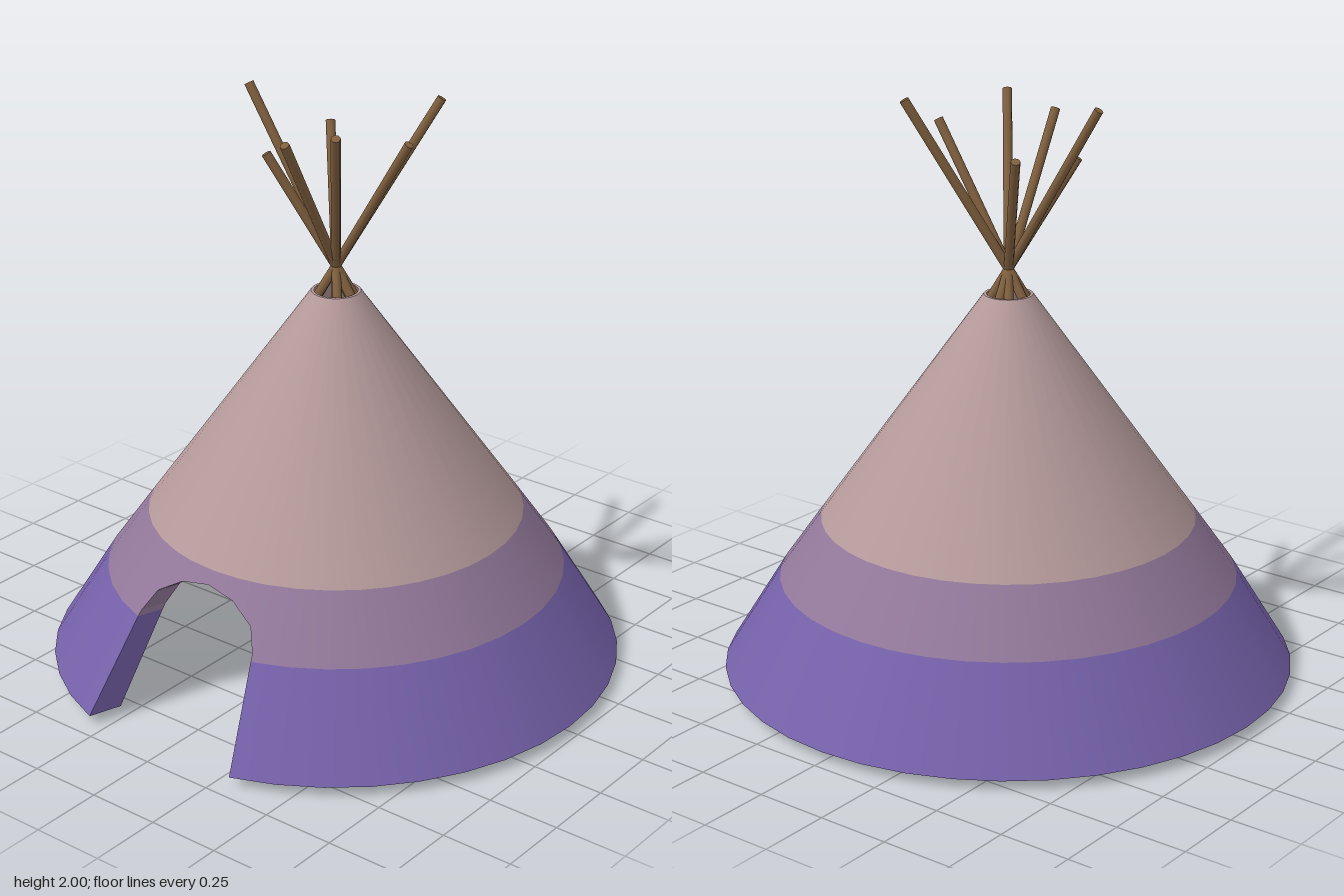
import * as THREE from 'three';

const mat = (name, color, side = THREE.FrontSide) => {
  const m = new THREE.MeshStandardMaterial({ color, side });
  m.name = name;
  return m;
};

const CZ = 0.016;          // axis of the tent in z
const INNER = 0.88;        // inner radius relative to outer
const PROFILE = [[0.98, 0.035], [0.785, 0.35], [0.64, 0.555], [0.083, 1.335]];
const DOOR = [[-18, 0.37], [-16, 0.44], [-9, 0.495], [0, 0.515], [9, 0.495], [16, 0.44], [18, 0.37]];

const radiusAt = (y) => {
  let i = 0;
  while (i < 2 && y > PROFILE[i + 1][1]) i++;
  const [r0, y0] = PROFILE[i], [r1, y1] = PROFILE[i + 1];
  return r0 + (r1 - r0) * (y - y0) / (y1 - y0);
};

// Point on the cover: angle in degrees from the front, height, radius scale
const point = (deg, y, k = 1) => {
  const a = THREE.MathUtils.degToRad(deg), r = radiusAt(y) * k;
  return [Math.sin(a) * r, y, Math.cos(a) * r + CZ];
};

// Collects quads; sign +1 / -1 gives smooth outward / inward normals, 0 flat ones
class Quads {
  constructor() { this.pos = []; this.nor = []; }
  add(corners, sign = 0) {
    const v = corners.map((c) => new THREE.Vector3(...c));
    const flat = v[1].clone().sub(v[0]).cross(v[2].clone().sub(v[0])).normalize();
    for (const i of [0, 1, 2, 0, 2, 3]) {
      const n = sign
        ? new THREE.Vector3(v[i].x, 0, v[i].z - CZ).normalize().setY(0.7).normalize().multiplyScalar(sign)
        : flat;
      this.pos.push(...corners[i]);
      this.nor.push(n.x, n.y, n.z);
    }
  }
  mesh(name, material) {
    const g = new THREE.BufferGeometry();
    g.setAttribute('position', new THREE.Float32BufferAttribute(this.pos, 3));
    g.setAttribute('normal', new THREE.Float32BufferAttribute(this.nor, 3));
    const m = new THREE.Mesh(g, material);
    m.name = name;
    return m;
  }
}

function createCover(materials) {
  const cover = new THREE.Group();
  cover.name = 'cover';
  const bands = PROFILE.slice(1).map(() => new Quads());

  // Columns: fine ones across the doorway, then every 9 degrees around
  const columns = DOOR.map((d) => d[0]);
  for (let a = 27; a <= 342; a += 9) columns.push(a);

  for (let c = 0; c < columns.length - 1; c++) {
    const a0 = columns[c], a1 = columns[c + 1];
    const isDoor = c < DOOR.length - 1;
    bands.forEach((band, b) => {
      const lo = PROFILE[b][1], hi = PROFILE[b + 1][1];
      const l0 = isDoor ? Math.max(lo, DOOR[c][1]) : lo;
      const l1 = isDoor ? Math.max(lo, DOOR[c + 1][1]) : lo;
      if (l0 >= hi || l1 >= hi) return;
      band.add([point(a0, l0), point(a1, l1), point(a1, hi), point(a0, hi)], 1);
      band.add([point(a0, l0, INNER), point(a0, hi, INNER), point(a1, hi, INNER), point(a1, l1, INNER)], -1);
    });
    // Rims at the ground and around the smoke hole
    const y0 = PROFILE[0][1], y1 = PROFILE[3][1];
    if (!isDoor) bands[0].add([point(a0, y0), point(a0, y0, INNER), point(a1, y0, INNER), point(a1, y0)]);
    bands[2].add([point(a0, y1), point(a1, y1), point(a1, y1, INNER), point(a0, y1, INNER)]);
  }

  // Thickness of the doorway edge
  const edge = [[-18, 0.035], [-18, 0.35], ...DOOR, [18, 0.35], [18, 0.035]];
  for (let i = 0; i < edge.length - 1; i++) {
    const p = edge[i], q = edge[i + 1];
    const band = Math.max(p[1], q[1]) <= 0.35 ? bands[0] : bands[1];
    band.add([point(...p), point(...p, INNER), point(...q, INNER), point(...q)]);
  }

  ['lowerBand', 'middleBand', 'upperCover'].forEach((n, i) => cover.add(bands[i].mesh(n, materials[i])));
  return cover;
}

function createPoles(material) {
  const poles = new THREE.Group();
  poles.name = 'poles';
  const knot = new THREE.Vector3(0, 1.42, CZ);
  // Top end x, y, z and height of the foot; all poles cross at the knot
  const tops = [
    [-0.335, 1.99, 0.05, 0.045], [-0.17, 1.84, -0.17, 0.045], [0.262, 1.99, -0.2, 0.045],
    [0.285, 1.89, 0.005, 0.018], [0.2, 1.96, 0.27, 0.018], [0.02, 1.91, 0.3, 0.045],
    [-0.19, 1.8, 0.14, 0.01],
  ];
  for (const [x, y, z, footY] of tops) {
    const top = new THREE.Vector3(x, y, z);
    const dir = top.clone().sub(knot);
    const foot = knot.clone().addScaledVector(dir, (footY - knot.y) / dir.y);
    const pole = new THREE.Mesh(new THREE.CylinderGeometry(0.016, 0.016, top.distanceTo(foot), 8), material);
    pole.position.copy(top).add(foot).multiplyScalar(0.5);
    pole.quaternion.setFromUnitVectors(new THREE.Vector3(0, 1, 0), dir.normalize());
    pole.name = 'pole';
    poles.add(pole);
  }
  return poles;
}

export function createModel() {
  const model = new THREE.Group();
  model.name = 'tent';
  model.add(createCover([
    mat('purple cloth', 0x7460a8),
    mat('mauve cloth', 0x92789a),
    mat('dusty pink cloth', 0xb4999a),
  ]));
  model.add(createPoles(mat('brown wood', 0x80603f)));
  return model;
}
